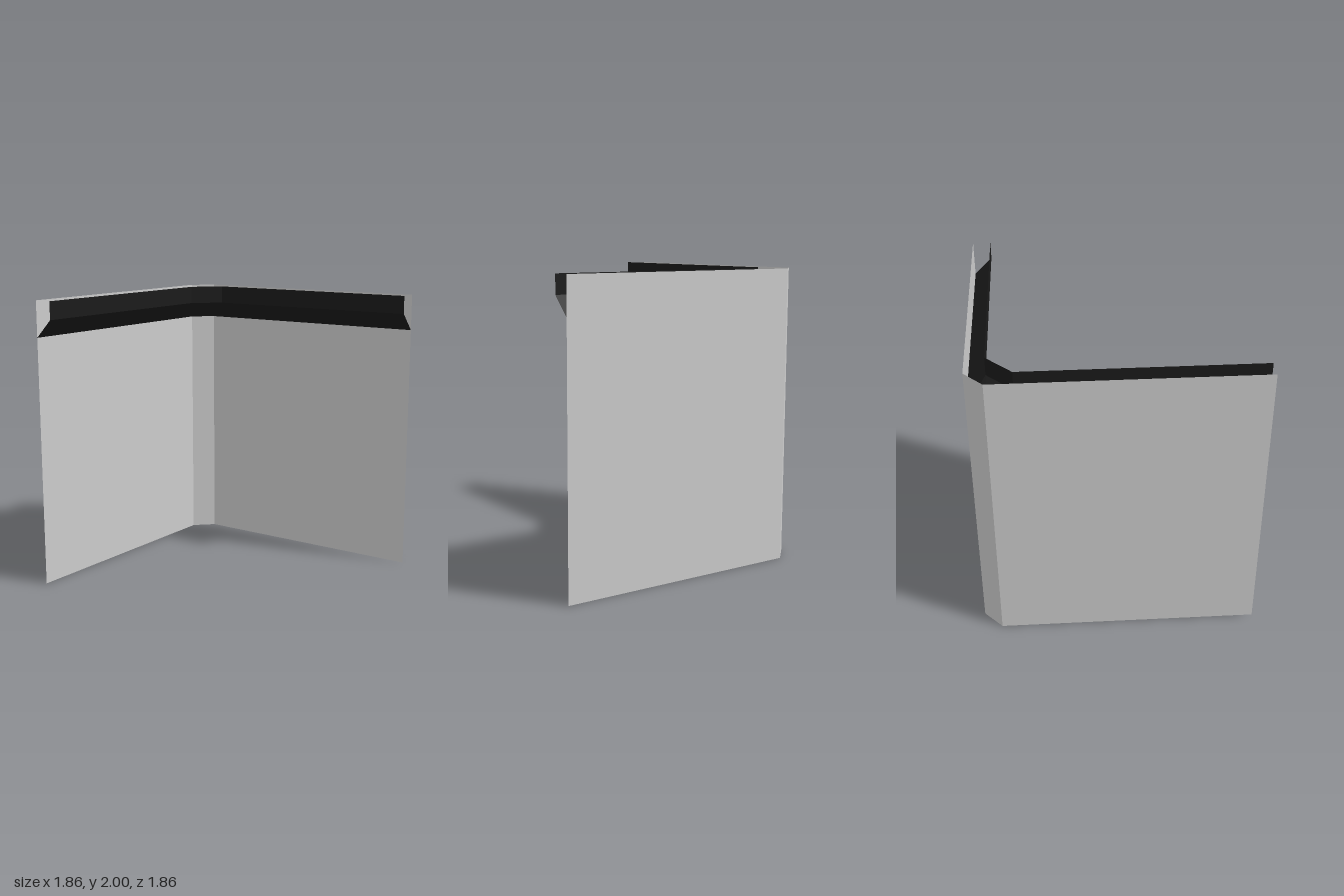
import * as THREE from 'three';

// Flat-shaded ribbon between two plan paths ([x, z] points) at two heights
function ribbon(name, low, yLow, high, yHigh, material) {
  const positions = [];
  for (let i = 0; i < low.length - 1; i++) {
    const a = [low[i][0], yLow, low[i][1]];
    const b = [low[i + 1][0], yLow, low[i + 1][1]];
    const c = [high[i + 1][0], yHigh, high[i + 1][1]];
    const d = [high[i][0], yHigh, high[i][1]];
    positions.push(...a, ...b, ...c, ...a, ...c, ...d);
  }
  const geometry = new THREE.BufferGeometry();
  geometry.setAttribute('position', new THREE.Float32BufferAttribute(positions, 3));
  geometry.computeVertexNormals();
  const mesh = new THREE.Mesh(geometry, material);
  mesh.name = name;
  return mesh;
}

export function createModel() {
  const grey = new THREE.MeshStandardMaterial({
    color: 0xcccccc, flatShading: true, side: THREE.DoubleSide,
  });
  const black = new THREE.MeshStandardMaterial({
    color: 0x1a1a1a, flatShading: true, side: THREE.DoubleSide,
  });

  // Plan of the corner wall, and of the trim standing off its inner side
  const wallPath = [[-0.932, -0.932], [0.803, -0.932], [0.926, -0.805], [0.932, 0.932]];
  const trimPath = [[-0.932, -0.807], [0.632, -0.807], [0.803, -0.636], [0.808, 0.932]];

  // Thin wall panels with a chamfered corner
  const walls = ribbon('cornerWalls', wallPath, 0, wallPath, 2, grey);

  // Open trough along the top: sloping underside and upright fascia
  const trim = new THREE.Group();
  trim.name = 'topTrim';
  trim.add(
    ribbon('trimUnderside', wallPath, 1.748, trimPath, 1.874, black),
    ribbon('trimFascia', trimPath, 1.874, trimPath, 2, black),
  );

  const model = new THREE.Group();
  model.name = 'cornerWallWithTrim';
  model.add(walls, trim);
  return model;
}
